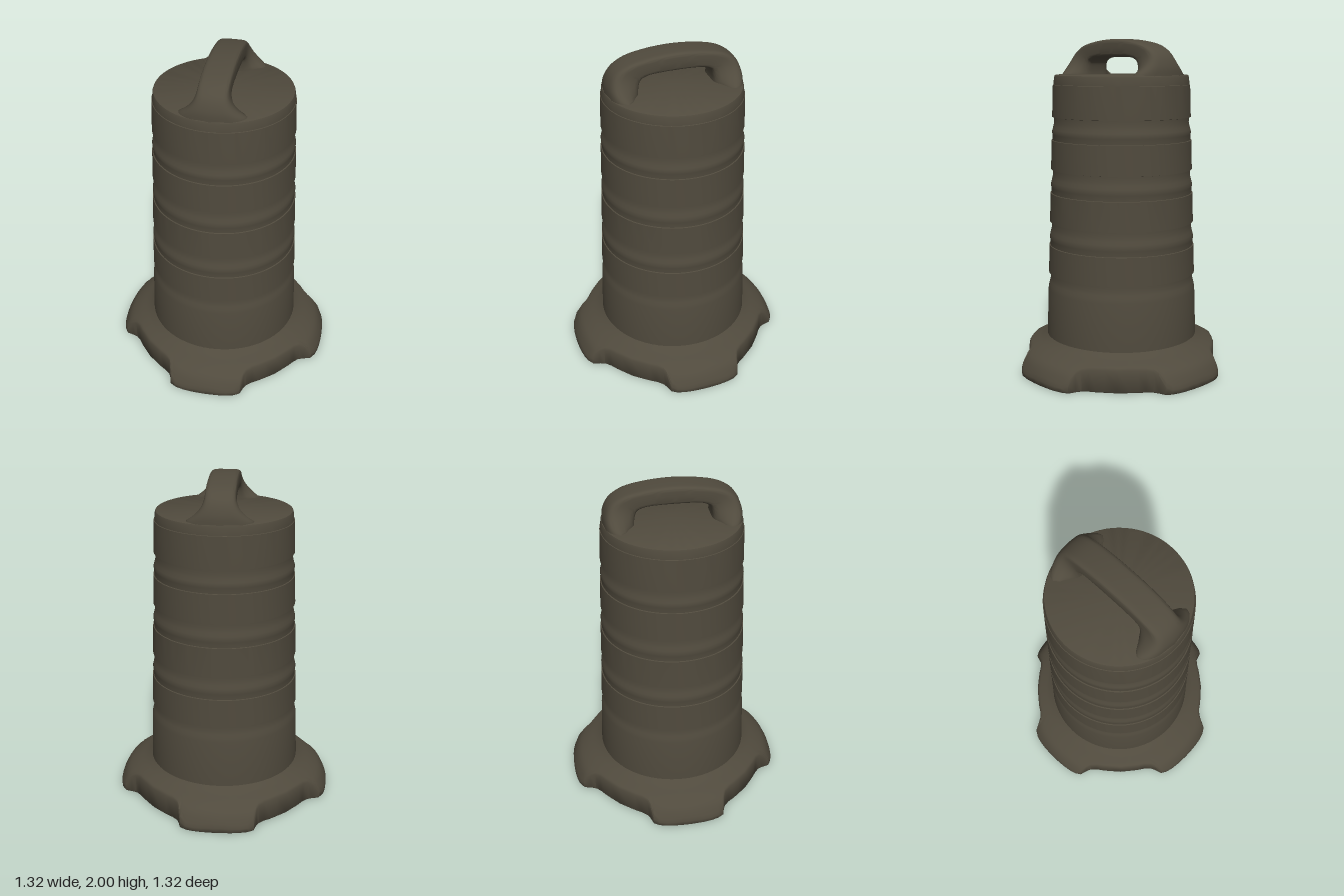
import * as THREE from 'three';
import { toCreasedNormals } from 'three/addons/utils/BufferGeometryUtils.js';

// Skin a list of closed cross-section loops
function skin(rows) {
  const n = rows[0].length, index = [];
  for (let i = 0; i < rows.length - 1; i++) {
    for (let j = 0; j < n; j++) {
      const a = i * n + j, b = i * n + (j + 1) % n;
      index.push(a, b, a + n, b, b + n, a + n);
    }
  }
  const g = new THREE.BufferGeometry();
  g.setAttribute('position', new THREE.Float32BufferAttribute(rows.flat(2), 3));
  g.setIndex(index);
  return g;
}

// Tapered hollow drum with four raised bands and a bead below each
function drumGeometry() {
  const R = (y) => 0.469 - 0.0325 * y;
  const pts = [[0, 1.76], [0.385, 1.76], [0.432, 0], [0.462, 0], [R(0.2), 0.2], [R(0.49), 0.49]];
  const bands = [[0.59, 0.76], [0.905, 1.08], [1.225, 1.4], [1.54, 1.73]];
  bands.forEach(([lo, hi], k) => {
    pts.push([R(lo) - 0.002, lo - 0.075], [R(lo) - 0.007, lo - 0.055], [R(lo) - 0.012, lo - 0.035],
      [R(lo) - 0.012, lo - 0.002], [R(lo), lo], [R(hi), hi]);
    if (k < 3) pts.push([R(hi) - 0.006, hi + 0.002], [R(hi) - 0.005, hi + 0.035], [R(hi) - 0.002, hi + 0.05]);
  });
  pts.push([0.409, 1.732], [0.405, 1.775], [0.401, 1.786], [0.394, 1.79], [0, 1.79]);
  const g = new THREE.LatheGeometry(pts.map(([r, y]) => new THREE.Vector2(r, y)), 72);
  return toCreasedNormals(g, 0.6);
}

// Sloping foot ring whose outline has four lobes
function baseGeometry() {
  const half = [[0.66, 0], [0.659, 0.04], [0.656, 0.09], [0.649, 0.14], [0.637, 0.185], [0.615, 0.22],
    [0.57, 0.233], [0.54, 0.247], [0.51, 0.278], [0.485, 0.315], [0.455, 0.352], [0.408, 0.408]];
  const lobe = [...half.slice(1, -1).reverse().map(([x, z]) => [x, -z]), ...half];
  const outline = [];
  for (let q = 0; q < 4; q++) {
    for (const [x, z] of lobe) outline.push([Math.hypot(x, z), Math.atan2(z, x) + q * Math.PI / 2]);
  }
  const slope = [[0.455, 0.21], [0.468, 0.198], [0.5, 0.178], [0.56, 0.152], [0.6, 0.13],
    [0.625, 0.108], [0.645, 0.075], [0.655, 0.05], [0.67, 0.03]];
  const height = (r) => {
    let i = 1;
    while (i < slope.length - 1 && slope[i][0] < r) i++;
    const [r0, y0] = slope[i - 1], [r1, y1] = slope[i];
    return y0 + (y1 - y0) * (r - r0) / (r1 - r0);
  };
  const ring = (f) => outline.map(([r, a]) => {
    const [rr, y] = f(r);
    return [rr * Math.cos(a), y, rr * Math.sin(a)];
  });
  const rows = [];
  for (let k = 0; k <= 12; k++) {
    rows.push(ring((R) => {
      const r = 0.458 + (R - 0.008 - 0.458) * k / 12;
      return [r, height(r)];
    }));
  }
  rows.push(ring((R) => [R, height(R) - 0.01]), ring((R) => [R, 0.008]),
    ring((R) => [R - 0.006, 0]), ring(() => [0.432, 0]));
  return toCreasedNormals(skin(rows), 0.7);
}

// Arched grip whose feet flare out and blend into the lid rim
function handleGeometry() {
  const arch = (half) => new THREE.CatmullRomCurve3([
    ...half.map(([z, y]) => new THREE.Vector3(0, y, -z)),
    ...half.slice(0, -1).reverse().map(([z, y]) => new THREE.Vector3(0, y, z))]);
  const outer = arch([[0.402, 1.77], [0.394, 1.84], [0.36, 1.91], [0.29, 1.957], [0.16, 1.988], [0, 2]]);
  const inner = arch([[0.222, 1.77], [0.22, 1.82], [0.205, 1.866], [0.165, 1.887], [0.09, 1.894], [0, 1.895]]);
  const soft = (v) => Math.sign(v) * Math.abs(v) ** 0.35;
  const rows = [];
  for (let i = 0; i <= 48; i++) {
    const o = outer.getPoint(i / 48), n = inner.getPoint(i / 48), row = [];
    for (let j = 0; j < 40; j++) {
      const a = j / 40 * Math.PI * 2;
      const p = n.clone().lerp(o, 0.5 + 0.5 * soft(Math.sin(a)));
      const low = THREE.MathUtils.clamp((1.95 - p.y) / 0.16, 0, 1) ** 2.4;
      const out = THREE.MathUtils.smoothstep(Math.abs(p.z), 0.2, 0.36);
      const x = soft(Math.cos(a)) * (0.086 + 0.11 * low * out);
      const pull = (0.4 - Math.sqrt(0.16 - x * x)) * out;
      row.push([x, p.y, p.z - Math.sign(p.z) * pull]);
    }
    rows.push(row);
  }
  return toCreasedNormals(skin(rows), 0.9);
}

export function createModel() {
  const plastic = new THREE.MeshStandardMaterial({ color: 0x504a3d });
  plastic.name = 'dark olive plastic';
  const group = new THREE.Group();
  group.name = 'trafficDrum';
  const parts = { drumBody: drumGeometry(), lobedBase: baseGeometry(), carryHandle: handleGeometry() };
  for (const [name, geometry] of Object.entries(parts)) {
    const mesh = new THREE.Mesh(geometry, plastic);
    mesh.name = name;
    group.add(mesh);
  }
  return group;
}
